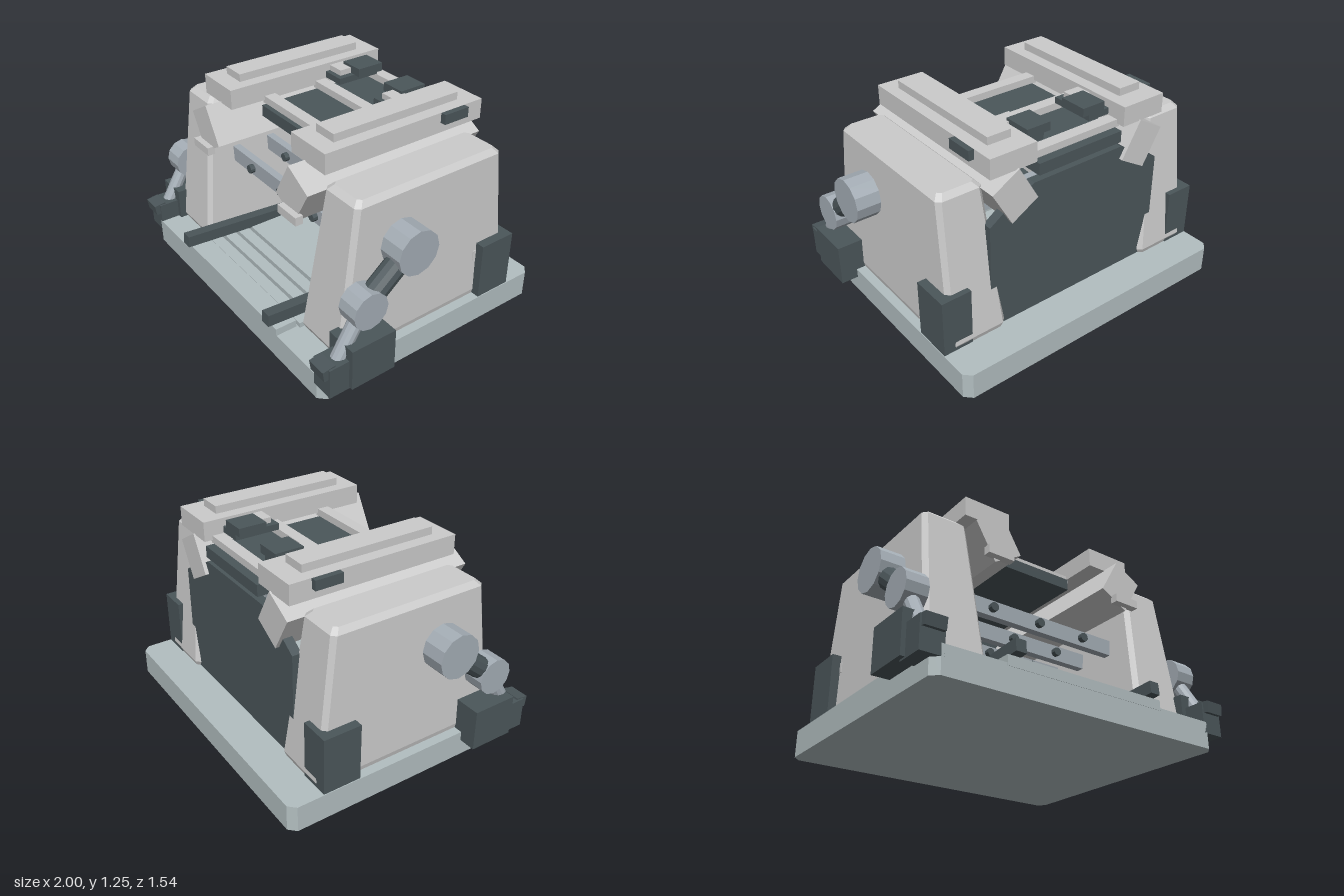
import * as THREE from 'three';
import { ConvexGeometry } from 'three/addons/geometries/ConvexGeometry.js';

const mat = (color) => new THREE.MeshStandardMaterial({ color, flatShading: true });

export function createModel() {
  const model = new THREE.Group();
  const light = mat(0xcccccc), dark = mat(0x4b565a), plate = mat(0xb2bec0), steel = mat(0xa4adb5);

  const add = (name, geometry, material, parent = model) => {
    const mesh = new THREE.Mesh(geometry, material);
    mesh.name = name;
    parent.add(mesh);
    return mesh;
  };
  // Box given by its limits on each axis
  const box = (name, [x0, x1], [y0, y1], [z0, z1], material, parent) => {
    const mesh = add(name, new THREE.BoxGeometry(x1 - x0, y1 - y0, z1 - z0), material, parent);
    mesh.position.set((x0 + x1) / 2, (y0 + y1) / 2, (z0 + z1) / 2);
    return mesh;
  };
  // Cylinder running between two points
  const rod = (name, a, b, r, sides, material, parent) => {
    const from = new THREE.Vector3(...a), to = new THREE.Vector3(...b);
    const dir = to.clone().sub(from);
    const mesh = add(name, new THREE.CylinderGeometry(r, r, dir.length(), sides), material, parent);
    mesh.position.copy(from).lerp(to, 0.5);
    mesh.quaternion.setFromUnitVectors(new THREE.Vector3(0, 1, 0), dir.normalize());
    return mesh;
  };
  // Solid through chamfered rectangles stacked in y: [y, x0, x1, z0, z1, chamfer]
  const stack = (name, levels, material, parent) => {
    const pts = [];
    for (const [y, x0, x1, z0, z1, c] of levels)
      for (const [x, dx] of [[x0, c], [x1, -c]])
        for (const [z, dz] of [[z0, c], [z1, -c]])
          pts.push(new THREE.Vector3(x + dx, y, z), new THREE.Vector3(x, y, z + dz));
    return add(name, new ConvexGeometry(pts), material, parent);
  };

  // Base, floor and front step
  stack('base', [[0, -0.9, 0.9, -0.77, 0.735, 0.04], [0.155, -0.9, 0.9, -0.77, 0.735, 0.04]], plate);
  box('floorPlate', [-0.52, 0.52], [0.14, 0.185], [-0.52, 0.33], plate);
  for (const z of [0.36, 0.45, 0.54]) box('floorRib', [-0.52, 0.52], [0.14, 0.185], [z, z + 0.06], plate);
  box('frontStep', [-0.5, 0.5], [0.14, 0.198], [0.61, 0.737], plate);

  // Back panel
  const outline = [[0.54, 0.16], [0.54, 0.34], [0.58, 0.36], [0.58, 0.8], [0.46, 0.88], [0.3, 0.96]];
  const shape = new THREE.Shape([
    ...outline.map(([x, y]) => new THREE.Vector2(x, y)),
    ...outline.map(([x, y]) => new THREE.Vector2(-x, y)).reverse(),
  ]);
  add('backPanel', new THREE.ExtrudeGeometry(shape, { depth: 0.055, bevelEnabled: false }), dark)
    .position.z = -0.548;

  // Inner cross bars with bolts
  for (const z of [0.325, 0.085, -0.155]) {
    box('innerBar', [-0.56, 0.56], [0.615, 0.71], [z - 0.023, z + 0.023], steel);
    for (const x of [-0.315, 0, 0.315])
      rod('bolt', [x, 0.662, z], [x, 0.662, z + 0.052], 0.026, 10, dark);
  }

  // Roof panel and its cross bars
  box('roofPanel', [-0.28, 0.28], [1.0, 1.068], [-0.562, 0.288], dark);
  for (const z of [-0.475, -0.125, 0.225])
    box('roofBar', [-0.31, 0.31], [1.066, 1.11], [z - 0.035, z + 0.035], light);

  for (const s of [1, -1]) {
    const side = new THREE.Group();
    side.name = s > 0 ? 'leftSide' : 'rightSide';
    model.add(side);
    const span = (a, b) => (s > 0 ? [a, b] : [-b, -a]);
    const part = (name, [a, b], y, z, material) => box(name, span(a, b), y, z, material, side);

    // Tapered wall with bevelled edges
    stack('wall', [
      [0.155, 0.51, 0.845, -0.565, 0.57, 0.025],
      [0.185, 0.5, 0.852, -0.575, 0.582, 0.025],
      [1.01, 0.565, 0.832, -0.48, 0.472, 0.025],
      [1.04, 0.595, 0.805, -0.45, 0.44, 0.02],
    ].map(([y, a, b, ...rest]) => [y, ...span(a, b), ...rest]), light, side);
    part('wallStud', [0.81, 0.86], [0.545, 0.61], [0.262, 0.315], light);
    part('wallTab', [0.82, 0.85], [0.39, 0.45], [-0.345, -0.325], light);

    // Corner blocks
    part('rearCornerBlock', [0.72, 0.897], [0.157, 0.495], [-0.572, -0.347], dark);
    part('frontCornerBlock', [0.81, 1.0], [0.1, 0.345], [0.345, 0.617], dark);
    part('frontFoot', [0.84, 0.975], [0.09, 0.27], [0.57, 0.735], dark);
    part('footCap', [0.85, 0.965], [0.21, 0.275], [0.69, 0.765], dark).rotation.x = 0.14;

    // Jointed arm
    const x = s * 0.908;
    const shoulder = [x, 0.74, 0.2], elbow = [x, 0.51, 0.483], wrist = [x, 0.25, 0.64];
    rod('shoulderJoint', [s * 0.81, 0.74, 0.2], [s * 0.98, 0.74, 0.2], 0.128, 12, steel, side);
    rod('elbowJoint', [s * 0.845, 0.51, 0.483], [s * 0.972, 0.51, 0.483], 0.105, 12, steel, side);
    rod('upperArm', shoulder, elbow, 0.062, 12, dark, side);
    rod('lowerArm', elbow, wrist, 0.042, 12, steel, side);

    // Slanted brace below the roof rail
    const brace = add('brace', new THREE.BoxGeometry(0.19, 0.24, 1.145), light, side);
    brace.position.set(s * 0.435, 0.942, 0.002);
    brace.rotation.z = -s * Math.PI / 6;
    part('braceTab', [0.36, 0.52], [0.81, 0.858], [0.565, 0.61], light);

    // Roof rail, cap and clips
    part('roofRail', [0.295, 0.582], [1.085, 1.2], [-0.56, 0.475], light);
    part('railCap', [0.367, 0.512], [1.19, 1.245], [-0.445, 0.372], light);
    part('outerClip', [0.55, 0.615], [1.142, 1.199], [-0.432, -0.268], dark);
    part('innerClip', [0.112, 0.262], [1.15, 1.2], [-0.44, -0.27], dark);
    part('clipLower', [0.155, 0.3], [1.115, 1.152], [-0.44, -0.165], dark);
    part('clipBracket', [0.19, 0.3], [1.145, 1.185], [-0.29, -0.195], light);

    // Floor guide, tipping slightly down towards the back
    const guide = part('floorGuide', [0.41, 0.472], [0.185, 0.255], [0, 0.765], dark);
    guide.rotation.x = -0.07;
  }
  return model;
}
